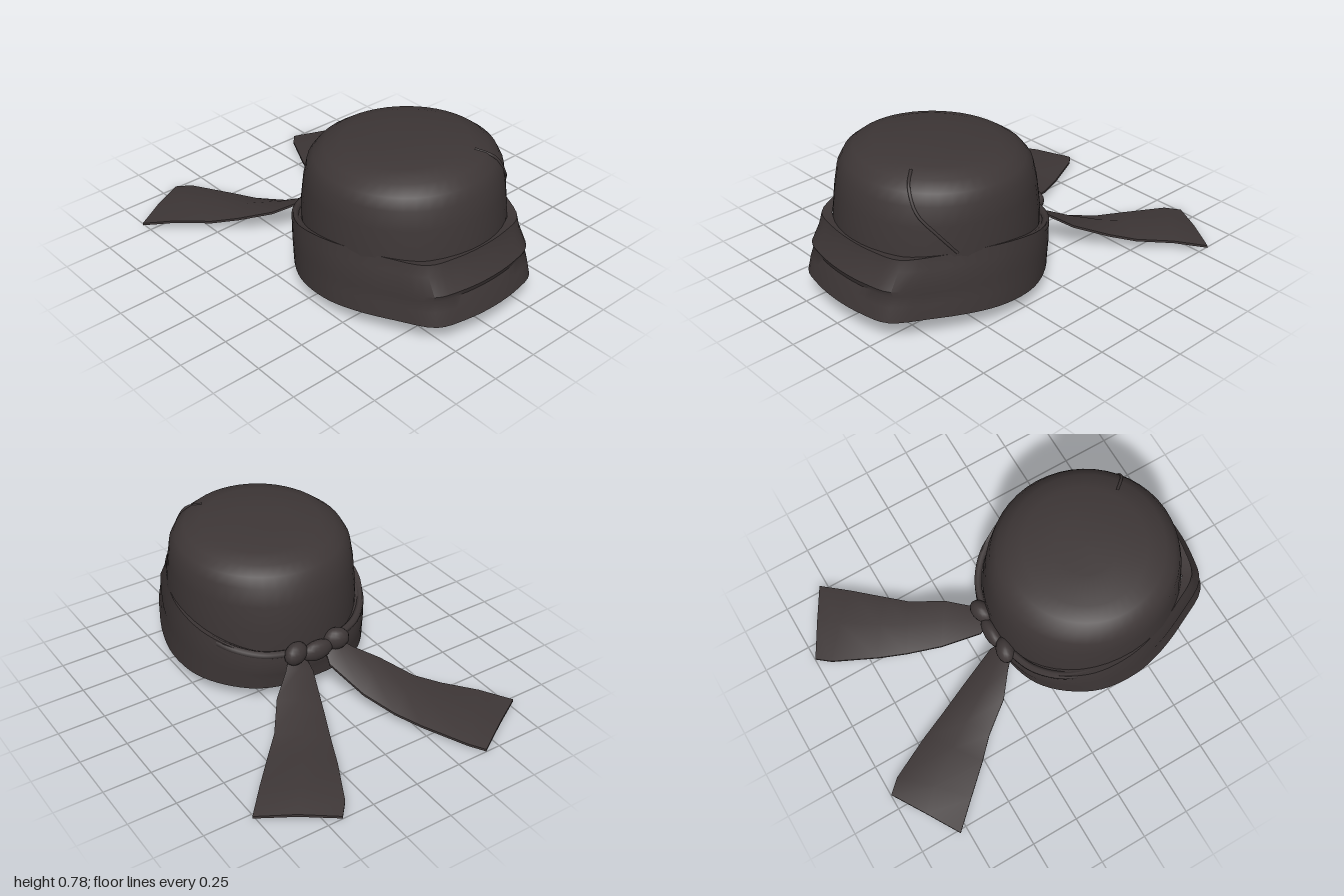
import * as THREE from 'three';
import { toCreasedNormals } from 'three/addons/utils/BufferGeometryUtils.js';

const V = (x, y, z) => new THREE.Vector3(x, y, z);

// Skin a list of closed rings, each with the same number of points
function loft(rings, crease = 0.6) {
  const n = rings[0].length, index = [];
  for (let i = 0; i < rings.length - 1; i++) {
    for (let j = 0; j < n; j++) {
      const k = (j + 1) % n;
      const a = i * n + j, b = i * n + k, c = b + n, d = a + n;
      index.push(a, b, c, a, c, d);
    }
  }
  const geo = new THREE.BufferGeometry().setFromPoints(rings.flat());
  geo.setIndex(index);
  return toCreasedNormals(geo, crease);
}

const flatRing = (ring, centre) => ring.map(() => centre.clone());

// Crown rings: [front y, back y, half width, front z, back z]
function crownGeometry() {
  const profile = [
    [0.34, 0.22, 0.488, 0.89, -0.14], [0.42, 0.40, 0.485, 0.885, -0.14],
    [0.56, 0.54, 0.474, 0.865, -0.12], [0.655, 0.635, 0.462, 0.845, -0.095],
    [0.71, 0.68, 0.435, 0.815, -0.06], [0.752, 0.715, 0.385, 0.765, -0.01],
    [0.774, 0.742, 0.31, 0.67, 0.07], [0.78, 0.758, 0.16, 0.52, 0.22], [0.776, 0.776, 0, 0.38, 0.38],
  ];
  const rings = profile.map(([yf, yb, hx, zf, zb]) => Array.from({ length: 48 }, (_, j) => {
    const a = j / 48 * Math.PI * 2, t = (1 + Math.cos(a)) / 2;
    return V(hx * Math.sin(a), yb + (yf - yb) * t, zb + (zf - zb) * t);
  }));
  return loft(rings, 0.7);
}

// Band: an outline with a pointed brow, tapering upwards
function bandGeometry() {
  const half = [[0, 0.99], [0.17, 0.975], [0.31, 0.93], [0.41, 0.76], [0.49, 0.57], [0.525, 0.4],
    [0.505, 0.2], [0.42, 0.04], [0.3, -0.075], [0.15, -0.13], [0, -0.14]];
  const pts = half.concat(half.slice(1, -1).reverse().map(([x, z]) => [-x, z]));
  const curve = new THREE.CatmullRomCurve3(pts.map(([x, z]) => V(x, 0, z)), true);
  const outline = curve.getPoints(80).slice(0, 80);
  const bottomY = z => 0.088 + 0.042 * THREE.MathUtils.smoothstep(z, 0.1, 1);
  const topY = z => 0.28 + 0.14 * Math.sin(THREE.MathUtils.clamp((z + 0.14) / 0.74, 0, 1) * Math.PI / 2);
  // [height fraction, width scale, front z, back z]
  const levels = [[0, 1, 0.995, -0.14], [0.25, 0.993, 0.975, -0.145], [0.42, 0.985, 0.955, -0.15],
    [0.52, 0.984, 0.965, -0.155], [0.8, 0.968, 0.915, -0.155], [1, 0.95, 0.9, -0.15], [0.96, 0.88, 0.85, -0.1]];
  const rings = levels.map(([f, s, zf, zb]) => outline.map(p => {
    const z = zb + (p.z + 0.14) / 1.13 * (zf - zb);
    return V(p.x * s, bottomY(p.z) * (1 - f) + topY(p.z) * f, z);
  }));
  rings.unshift(flatRing(outline, V(0, 0.092, 0.4)));
  return loft(rings, 0.7);
}

// Tail stations: inner edge x y z, outer edge x y z, height of the middle ridge
function tailGeometry(side) {
  const stations = [
    [0.06, 0.23, -0.14, 0.15, 0.25, -0.13, 0.02],
    [0.05, 0.17, -0.2, 0.2, 0.21, -0.18, 0.015],
    [0.12, 0.08, -0.4, 0.31, 0.15, -0.27, 0.03],
    [0.19, 0.04, -0.57, 0.42, 0.085, -0.42, 0.03],
    [0.25, 0.03, -0.71, 0.52, 0.06, -0.52, 0.03],
    [0.36, 0.02, -0.93, 0.65, 0.05, -0.66, 0.028],
    [0.42, 0.006, -0.998, 0.77, 0.022, -0.79, 0.012],
  ];
  const h = 0.007;
  const rings = stations.map(([x0, y0, z0, x1, y1, z1, ridge]) => {
    const top = [V(x0, y0 + h, z0), V((x0 + x1) / 2, (y0 + y1) / 2 + ridge + h, (z0 + z1) / 2), V(x1, y1 + h, z1)];
    const bottom = top.map(p => V(p.x, p.y - h * 1.8, p.z)).reverse();
    const ring = [...top, ...bottom];
    ring.forEach(p => { p.x *= side; });
    return side > 0 ? ring : ring.reverse();
  });
  // Close both ends
  const middle = r => r.reduce((s, p) => s.add(p), V(0, 0, 0)).divideScalar(r.length);
  const first = rings[0], last = rings[rings.length - 1];
  rings.unshift(flatRing(first, middle(first)));
  rings.push(flatRing(last, middle(last)));
  return loft(rings, 0.8);
}

export function createModel() {
  const model = new THREE.Group();
  model.name = 'bandana';
  const cloth = new THREE.MeshStandardMaterial({ color: 0x3d3636 });
  cloth.name = 'charcoal cloth';

  const add = (name, geo) => {
    const mesh = new THREE.Mesh(geo, cloth);
    mesh.name = name;
    model.add(mesh);
    return mesh;
  };
  const fold = (name, points, radius) =>
    add(name, new THREE.TubeGeometry(new THREE.CatmullRomCurve3(points), 20, radius, 6));

  add('crown', crownGeometry());
  add('headBand', bandGeometry());

  // Folded cloth edge on the left of the crown
  fold('crownFold', [V(0.17, 0.762, 0.66), V(0.235, 0.725, 0.728), V(0.3, 0.62, 0.74), V(0.37, 0.52, 0.682), V(0.425, 0.42, 0.61)], 0.008);

  // Knot and the gathered cloth running into it
  const knot = add('knot', new THREE.SphereGeometry(1, 16, 10));
  knot.position.set(0, 0.26, -0.16);
  knot.scale.set(0.09, 0.055, 0.04);
  for (const side of [1, -1]) {
    const lobe = add(side > 0 ? 'leftKnotLoop' : 'rightKnotLoop', new THREE.SphereGeometry(1, 14, 10));
    lobe.position.set(0.12 * side, 0.28, -0.15);
    lobe.scale.set(0.07, 0.06, 0.048);
    lobe.rotation.y = 0.3 * side;
    fold('gatheredFold', [V(0.1 * side, 0.28, -0.145), V(0.27 * side, 0.29, -0.085), V(0.39 * side, 0.315, 0.02), V(0.465 * side, 0.345, 0.17)], 0.02);
    add(side > 0 ? 'leftTail' : 'rightTail', tailGeometry(side));
  }
  return model;
}
